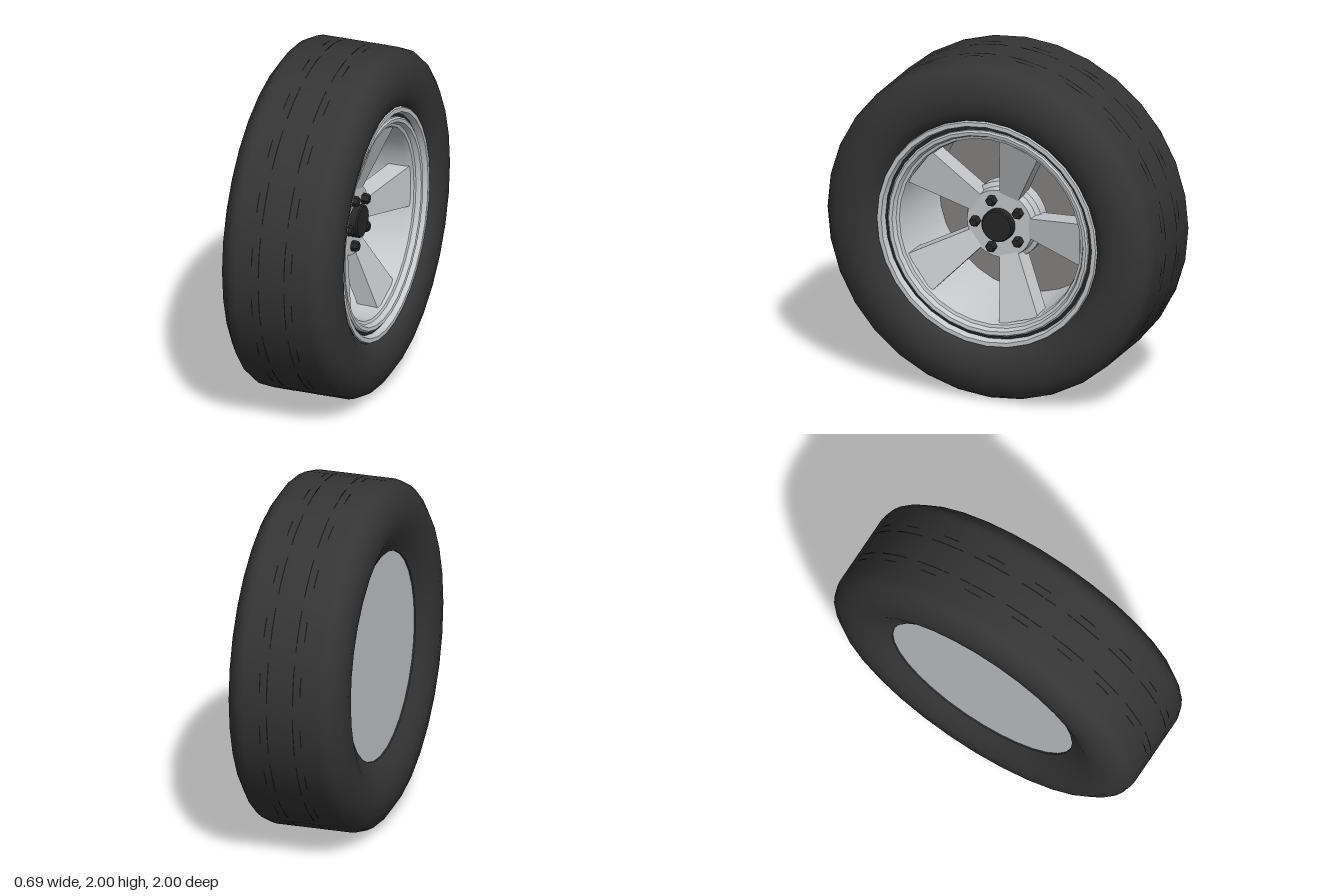
import * as THREE from 'three';
import { toCreasedNormals } from 'three/addons/utils/BufferGeometryUtils.js';

const SIDES = 32;
const mat = (name, color) => {
  const m = new THREE.MeshStandardMaterial({ color });
  m.name = name;
  return m;
};

// Revolve [radius, x] points around the axle (x axis)
function turned(points, sides = SIDES, crease = 0.5) {
  const g = new THREE.LatheGeometry(points.map(([r, x]) => new THREE.Vector2(r, x)), sides);
  g.rotateZ(-Math.PI / 2);
  return toCreasedNormals(g, crease);
}

// Tapered bar, rising outward from the hub to the rim
function spokeGeometry() {
  const g = new THREE.BoxGeometry(1, 1, 1);
  const p = g.attributes.position;
  for (let i = 0; i < p.count; i++) {
    const t = p.getY(i) + 0.5;
    const front = 0.105 + 0.13 * t;
    p.setXYZ(i,
      p.getX(i) > 0 ? front : front - 0.12,
      0.15 + 0.392 * t,
      Math.sign(p.getZ(i)) * (0.053 + 0.072 * t));
  }
  const flat = g.toNonIndexed();
  flat.computeVertexNormals();
  return flat;
}

export function createModel() {
  const rubber = mat('rubber', 0x353535);
  const grooveBlack = mat('grooveBlack', 0x161616);
  const metal = mat('metal', 0xc6c8cb);
  const backing = mat('warmGrey', 0x858280);
  const darkMetal = mat('darkMetal', 0x262626);

  const wheel = new THREE.Group();
  wheel.name = 'wheel';
  const add = (name, geometry, material, parent = wheel) => {
    const m = new THREE.Mesh(geometry, material);
    m.name = name;
    parent.add(m);
    return m;
  };

  // Tyre, from the back bead over the tread to the front bead
  add('tyre', turned([
    [0.595, -0.24], [0.6, -0.27], [0.66, -0.3], [0.74, -0.335], [0.82, -0.345],
    [0.91, -0.33], [0.975, -0.285], [0.995, -0.25], [1, -0.22],
    [1, 0.22], [0.995, 0.25], [0.975, 0.285], [0.91, 0.33],
    [0.82, 0.345], [0.74, 0.335], [0.68, 0.3], [0.66, 0.25],
  ], SIDES, 0.9), rubber);

  // Broken tread lines: long inner dashes and short outer ones
  const tread = new THREE.Group();
  tread.name = 'treadLines';
  wheel.add(tread);
  for (const [x, degrees] of [[0.077, 13.5], [0.12, 6.5]]) {
    const length = THREE.MathUtils.degToRad(degrees);
    const strip = new THREE.CylinderGeometry(1, 1, 0.007, 4, 1, true, -length / 2, length);
    strip.rotateZ(-Math.PI / 2);
    for (const side of [-1, 1]) {
      for (let i = 0; i < 20; i++) {
        const dash = add('treadDash', strip, grooveBlack, tread);
        dash.position.x = side * x;
        dash.rotation.x = (i + 0.5) * Math.PI / 10;
      }
    }
  }

  // Rim lip, dark seam, inner ring and barrel
  add('rimLip', turned([
    [0.66, 0.24], [0.675, 0.285], [0.67, 0.302], [0.645, 0.302], [0.633, 0.265],
  ]), metal);
  add('rimSeam', turned([[0.636, 0.266], [0.612, 0.266]]), darkMetal);
  add('rimBarrel', turned([
    [0.615, 0.255], [0.615, 0.28], [0.605, 0.288], [0.585, 0.285], [0.572, 0.258],
    [0.555, 0.252], [0.545, 0.215], [0.53, -0.25],
  ]), metal);

  // Closed back of the wheel
  add('backPlate', turned([[0, -0.262], [0.602, -0.262]]), metal);
  add('innerPlate', turned([[0.535, -0.25], [0, -0.25]]), backing);

  // Hub
  add('hub', turned([
    [0, -0.03], [0.23, -0.03], [0.23, 0.045], [0.205, 0.06], [0.2, 0.115], [0, 0.115],
  ]), metal);

  // Five spokes
  const spoke = spokeGeometry();
  for (let i = 0; i < 5; i++) {
    add('spoke', spoke, metal).rotation.x = -Math.PI / 2 + i * Math.PI * 2 / 5;
  }

  // Centre cap and five hexagonal wheel nuts
  add('centreCap', turned([
    [0.095, 0.11], [0.095, 0.155], [0.088, 0.163], [0, 0.163],
  ], 24), darkMetal);
  const nut = turned([[0.031, 0.11], [0.031, 0.147], [0.023, 0.157], [0, 0.157]], 6);
  for (let i = 0; i < 5; i++) {
    const a = (i + 0.5) * Math.PI * 2 / 5;
    add('wheelNut', nut, darkMetal).position.set(0, 0.145 * Math.sin(a), -0.145 * Math.cos(a));
  }

  wheel.position.y = 1;
  const model = new THREE.Group();
  model.name = 'carWheel';
  model.add(wheel);
  return model;
}
